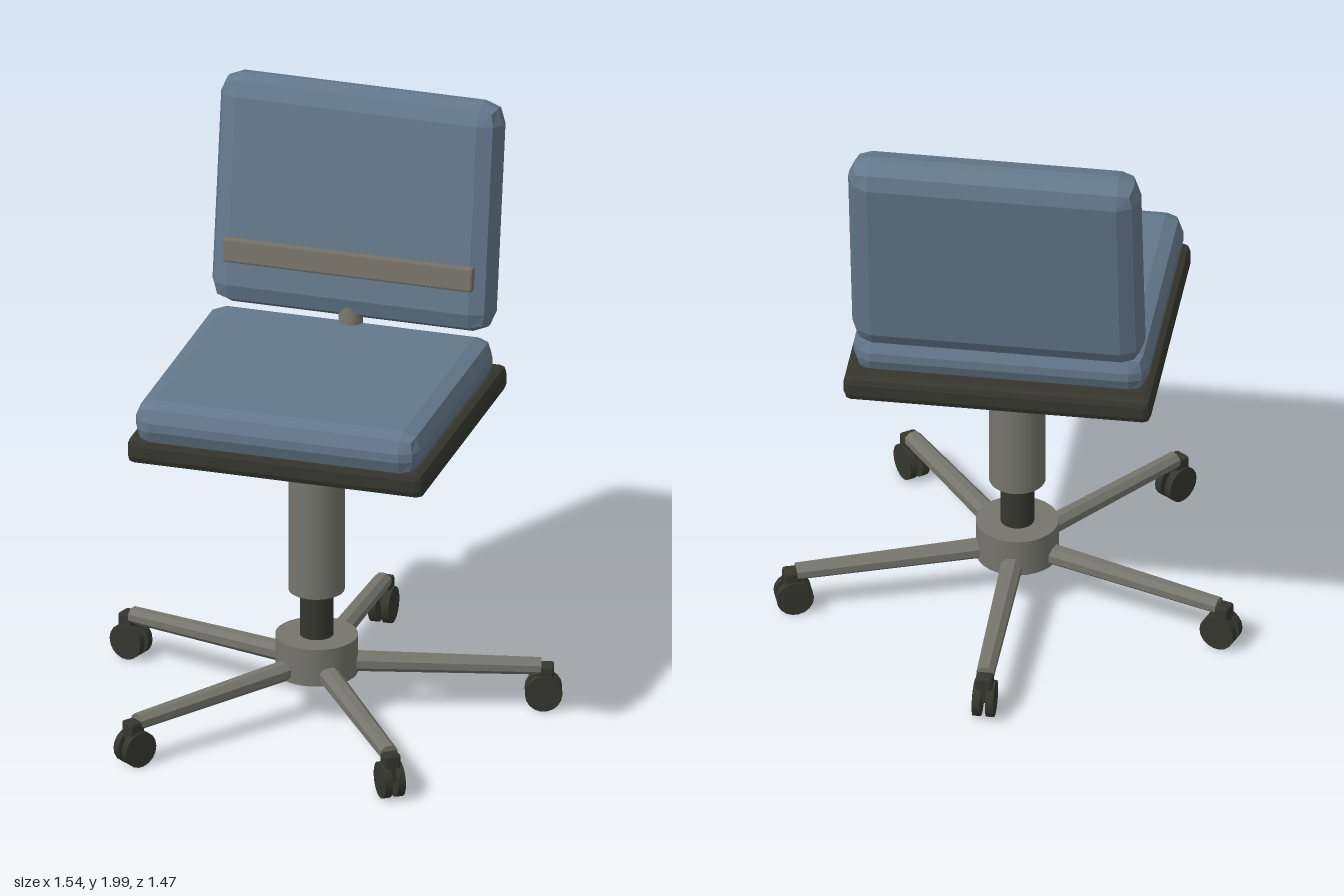
import * as THREE from 'three';
import { RoundedBoxGeometry } from 'three/addons/geometries/RoundedBoxGeometry.js';

const mat = (name, color) => {
  const m = new THREE.MeshStandardMaterial({ color });
  m.name = name;
  return m;
};

export function createModel() {
  const fabric = mat('blueFabric', 0x64788b);
  const dark = mat('darkPlastic', 0x36362f);
  const metal = mat('greyMetal', 0x75756d);
  const trim = mat('warmGreyTrim', 0x767067);
  const chair = new THREE.Group();
  chair.name = 'officeChair';

  const add = (parent, name, geometry, material, x = 0, y = 0, z = 0) => {
    const mesh = new THREE.Mesh(geometry, material);
    mesh.name = name;
    mesh.position.set(x, y, z);
    parent.add(mesh);
    return mesh;
  };
  const flat = (geometry) => {
    const g = geometry.index ? geometry.toNonIndexed() : geometry;
    g.computeVertexNormals();
    return g;
  };
  // Box with two flat facets around every edge
  const bevelBox = (w, h, d, r) => flat(new RoundedBoxGeometry(w, h, d, 1, r));
  const cyl = (r, h, sides = 32) => new THREE.CylinderGeometry(r, r, h, sides);
  // Cylinder between two points in a parent's space
  const rod = (parent, name, a, b, geometry, material) => {
    const mesh = add(parent, name, geometry, material);
    mesh.position.copy(a).lerp(b, 0.5);
    mesh.quaternion.setFromUnitVectors(new THREE.Vector3(0, 1, 0), b.clone().sub(a).normalize());
    return mesh;
  };
  const v = (x, y, z) => new THREE.Vector3(x, y, z);

  // Seat
  add(chair, 'seatCushion', bevelBox(0.97, 0.15, 0.905, 0.06), fabric, 0, 1.148, 0.097);
  add(chair, 'seatPan', bevelBox(1.01, 0.09, 0.95, 0.025), dark, 0, 1.05, 0.065);
  add(chair, 'tiltMechanism', bevelBox(0.4, 0.085, 0.345, 0.02), dark, 0, 0.975, 0.037);

  // Height lever on the right
  rod(chair, 'leverRod', v(-0.18, 0.97, -0.02), v(-0.4, 0.97, -0.02), cyl(0.009, 0.22, 12), dark);
  rod(chair, 'leverGrip', v(-0.37, 0.97, -0.02), v(-0.46, 0.97, -0.02), cyl(0.015, 0.09, 12), fabric);

  // Leaning backrest with its lumbar strip
  const back = new THREE.Group();
  back.name = 'backrest';
  back.position.set(0, 1.613, -0.397);
  back.rotation.x = -0.153;
  chair.add(back);
  add(back, 'backCushion', bevelBox(0.96, 0.775, 0.165, 0.07), fabric);
  add(back, 'lumbarStrip', bevelBox(0.85, 0.083, 0.04, 0.008), trim, 0, -0.195, 0.082);
  rod(chair, 'backPost', v(0, 1.06, -0.28), v(0, 1.42, -0.335), cyl(0.04, 0.364, 20), metal);

  // Column and hub
  const base = new THREE.Group();
  base.name = 'base';
  base.position.z = 0.07;
  chair.add(base);
  add(base, 'innerColumn', cyl(0.055, 0.72), dark, 0, 0.59, 0);
  add(base, 'columnSleeve', cyl(0.092, 0.43), metal, 0, 0.645, 0);
  add(base, 'hub', cyl(0.135, 0.13), metal, 0, 0.205, 0);

  // Five tapered octagonal legs with twin-wheel casters
  const legStart = v(0, 0.174, -0.09);
  const legEnd = v(0, 0.15, -0.73);
  const legGeo = flat(new THREE.CylinderGeometry(0.028, 0.034, legStart.distanceTo(legEnd), 8)
    .rotateY(Math.PI / 8).scale(1.1, 1, 1));
  const hoodGeo = bevelBox(0.056, 0.095, 0.055, 0.008);
  const wheelGeo = cyl(0.061, 0.026, 18).rotateZ(Math.PI / 2);
  const axleGeo = cyl(0.015, 0.05, 10).rotateZ(Math.PI / 2);
  for (let i = 0; i < 5; i++) {
    const arm = new THREE.Group();
    arm.name = 'legAssembly';
    arm.rotation.y = (i * Math.PI * 2) / 5;
    base.add(arm);
    rod(arm, 'leg', legStart, legEnd, legGeo, metal);
    add(arm, 'casterHood', hoodGeo, dark, 0, 0.11, -0.745);
    add(arm, 'casterAxle', axleGeo, dark, 0, 0.064, -0.738);
    for (const side of [-1, 1]) {
      add(arm, 'casterWheel', wheelGeo, dark, side * 0.022, 0.063, -0.738);
    }
  }
  return chair;
}
